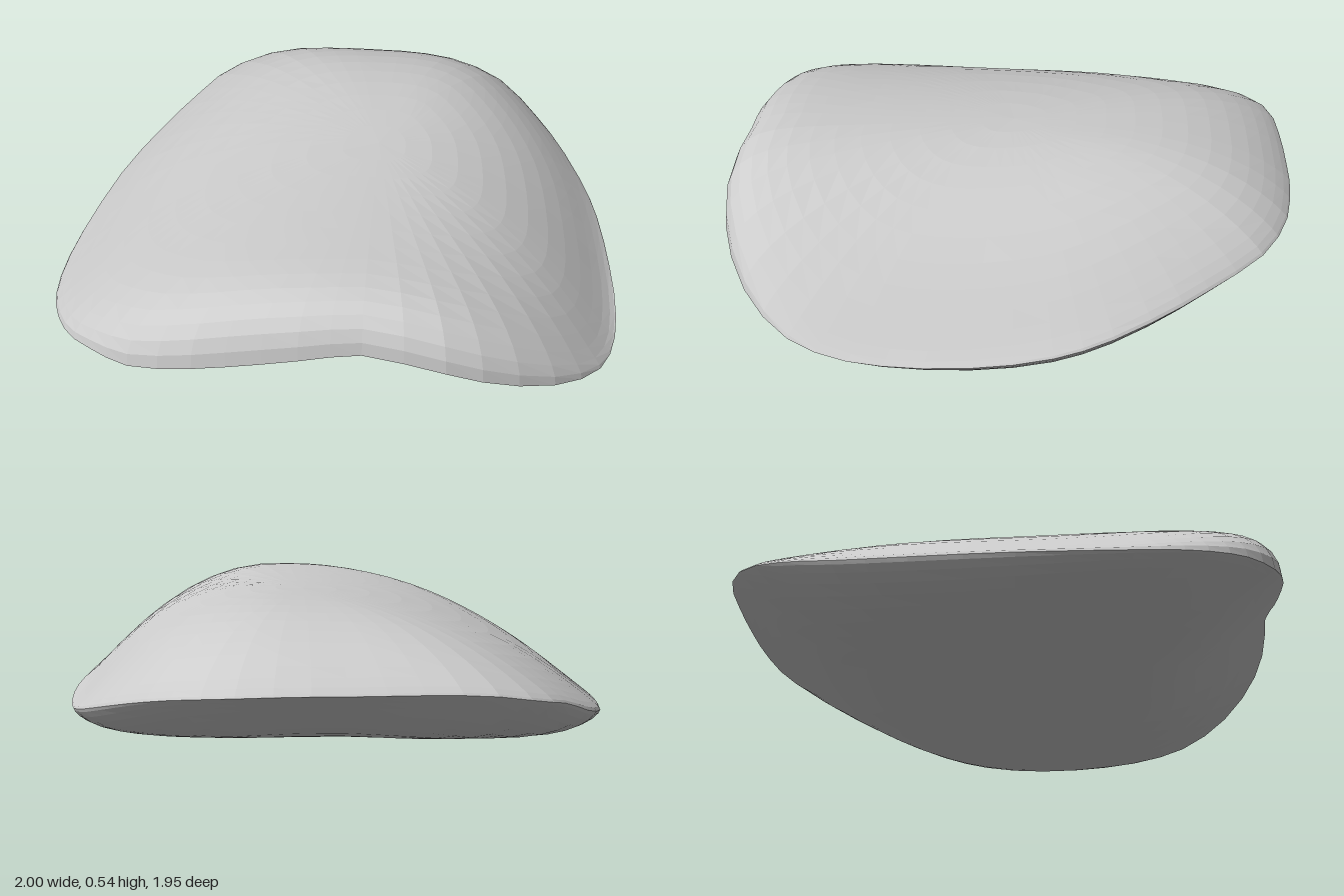
import * as THREE from 'three';

// Outline of the pad as (x, rim height, z), running front -> left -> back -> right
const RIM = [
  [0.17, 0.39, 0.955], [0.4, 0.36, 0.97], [0.6, 0.29, 0.93], [0.8, 0.21, 0.82], [0.93, 0.15, 0.67],
  [0.985, 0.12, 0.5], [1, 0.11, 0.3], [0.985, 0.11, 0.05], [0.95, 0.13, -0.18], [0.9, 0.16, -0.34],
  [0.8, 0.21, -0.54], [0.7, 0.25, -0.69], [0.57, 0.29, -0.85], [0.4, 0.31, -0.94], [0.2, 0.32, -0.975],
  [0, 0.32, -0.98], [-0.2, 0.32, -0.975], [-0.4, 0.31, -0.95], [-0.59, 0.27, -0.85], [-0.7, 0.23, -0.69],
  [-0.81, 0.17, -0.52], [-0.91, 0.12, -0.3], [-0.975, 0.09, 0], [-1, 0.075, 0.25], [-0.985, 0.08, 0.43],
  [-0.94, 0.1, 0.56], [-0.86, 0.13, 0.69], [-0.74, 0.17, 0.8], [-0.6, 0.2, 0.89], [-0.4, 0.26, 0.945],
  [-0.2, 0.31, 0.96], [0, 0.36, 0.965],
].map((p) => new THREE.Vector3(...p));

const SEGMENTS = 56, RINGS = 14, CENTRE_X = 0.13;

// Arched top, with its crest off centre and a slight lift towards the front
function topHeight(x, z) {
  const d = x - 0.2;
  const fall = d > 0 ? 0.67 * Math.pow(d, 2.05) : 0.28 * Math.pow(-d, 2.1);
  return 0.53 + 0.03 * Math.pow(Math.max(0, z), 2) - fall;
}

// Shallow underside, bowed up towards the front and back
function bottomHeight(x, z) {
  return 0.03 + 0.04 * Math.min(0, x) + (z > 0 ? 0.17 : 0.2) * z * z;
}

// Rounded sides and front, with a gently tapered back; dz is the direction from the centre
function topBlend(r, dz) {
  const back = dz < 0 ? dz * dz : 0;
  const power = dz > 0 ? 8 + 5 * dz * dz : 8 - 4.3 * back;
  return Math.pow(1 - Math.pow(r, power), 0.5 + 0.4 * back);
}

function bottomBlend(r, dz) {
  const power = 9 - (dz > 0 ? 5 : 4) * dz * dz;
  return Math.pow(1 - Math.pow(r, power), 0.7 + 0.3 * dz * dz);
}

function buildShell() {
  const curve = new THREE.CatmullRomCurve3(RIM, true);
  const positions = [], index = [];

  // Rings run from the top centre out to the rim, then in to the bottom centre
  for (let k = -RINGS; k <= RINGS; k++) {
    const r = Math.sin((1 - Math.abs(k) / RINGS) * Math.PI / 2);
    for (let i = 0; i < SEGMENTS; i++) {
      const rim = curve.getPoint(i / SEGMENTS);
      const dx = rim.x - CENTRE_X;
      const dz = rim.z / Math.hypot(dx, rim.z);
      const x = CENTRE_X + dx * r, z = rim.z * r;
      const inner = k < 0 ? topHeight(x, z) : bottomHeight(x, z);
      const blend = k < 0 ? topBlend(r, dz) : bottomBlend(r, dz);
      positions.push(x, rim.y + (inner - rim.y) * blend, z);
    }
  }

  // Quads between rings, single triangles at the two centres
  const vertex = (row, i) => row * SEGMENTS + (i % SEGMENTS);
  const last = 2 * RINGS - 1;
  for (let row = 0; row <= last; row++) {
    for (let i = 0; i < SEGMENTS; i++) {
      const a = vertex(row, i), b = vertex(row, i + 1);
      const c = vertex(row + 1, i), d = vertex(row + 1, i + 1);
      if (row < last) index.push(a, c, d);
      if (row > 0) index.push(a, d, b);
    }
  }
  const geometry = new THREE.BufferGeometry();
  geometry.setAttribute('position', new THREE.Float32BufferAttribute(positions, 3));
  geometry.setIndex(index);
  geometry.computeVertexNormals();
  geometry.computeBoundingBox();
  geometry.translate(0, -geometry.boundingBox.min.y, 0);
  return geometry;
}

export function createModel() {
  const grey = new THREE.MeshStandardMaterial({ color: 0xcccccc, flatShading: true });
  grey.name = 'light grey';
  const shell = new THREE.Mesh(buildShell(), grey);
  shell.name = 'curvedShell';
  const group = new THREE.Group();
  group.name = 'curvedPad';
  group.add(shell);
  return group;
}
